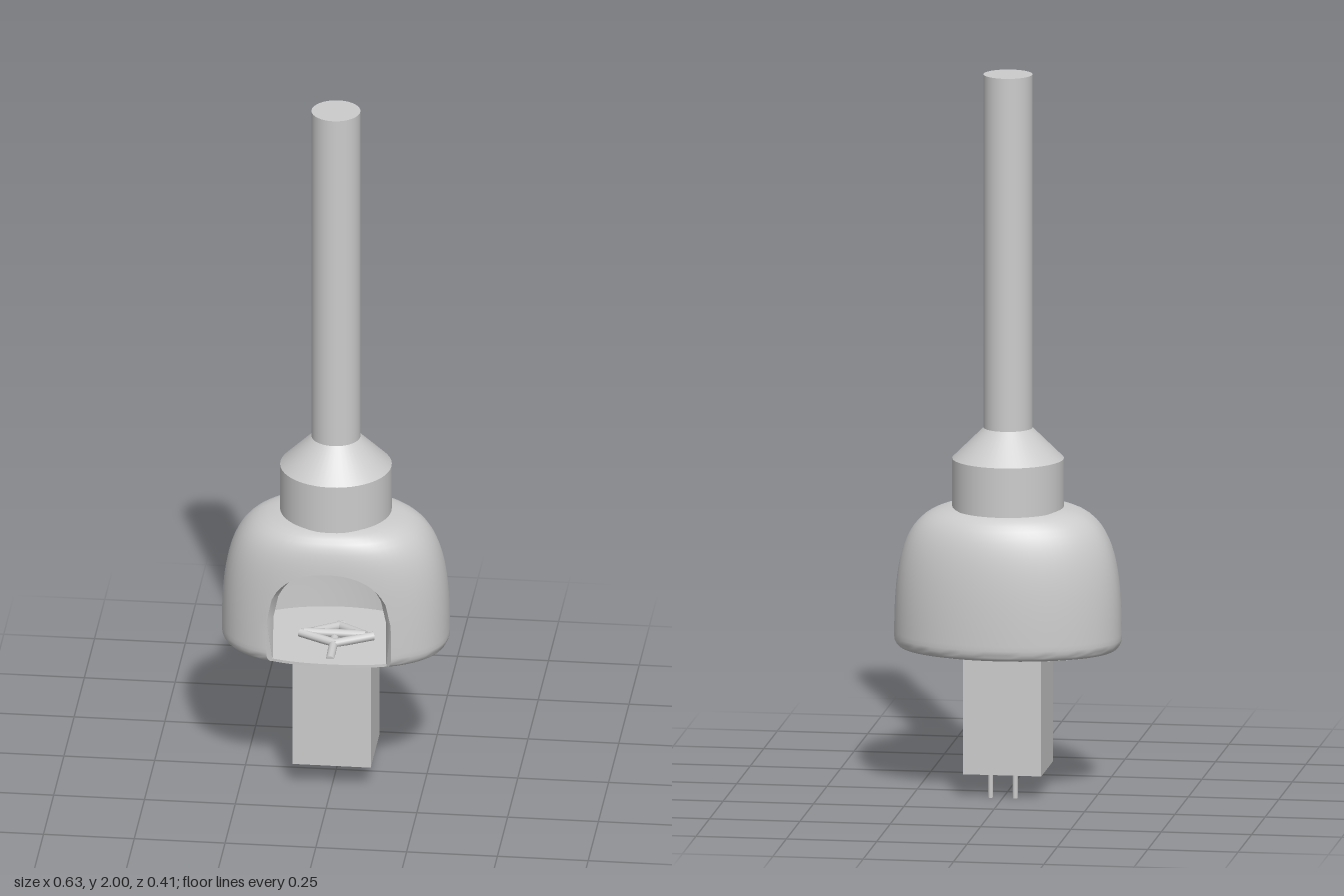
import * as THREE from 'three';
import { toCreasedNormals } from 'three/addons/utils/BufferGeometryUtils.js';

const BASE = 0.4, OPENING = 0.509; // shell bottom height, half angle of the opening

// Horizontal outline of the shell at height fraction t and angle th (0 = front)
function outline(t, th, inset) {
  const u = Math.max(0, 1 - t / 0.08);
  const round = inset ? 1 : 1 - 0.09 * (1 - Math.sqrt(1 - u * u));
  const s = Math.sin(th), c = Math.cos(th), front = c > 0;
  const a = 0.313 * Math.pow(Math.max(0, 1 - t ** 3), 0.205);
  const b = 0.207 * (front ? Math.pow(Math.max(0, 1 - t ** 8), 0.14) : Math.pow(Math.max(0, 1 - t ** 3), 0.18));
  const e = front ? 2 / 2.4 : 1;
  return [
    Math.max(0, a * round - inset) * Math.sign(s) * Math.abs(s) ** e,
    Math.max(0, b * round - inset) * Math.sign(c) * Math.abs(c) ** e
  ];
}

// Lower edge of the shell inside the arched opening
function archHeight(th) {
  const u = Math.min(1, Math.abs(Math.sin(th)) ** (2 / 2.4) * 0.313 / 0.172);
  return 0.52 + 0.165 * Math.pow(Math.max(0, 1 - u ** 2.4), 1 / 2.4);
}

// Domed oval shell with wall thickness and an arch cut in the front
function shellGeometry() {
  const columns = [], n = 28, wall = 0.028;
  for (let i = 0; i <= 24; i++) {
    const th = OPENING * (i / 12 - 1);
    columns.push([th, archHeight(th)]);
  }
  for (let i = 0; i <= 48; i++) columns.push([OPENING + (2 * Math.PI - 2 * OPENING) * i / 48, BASE]);

  const pos = [], index = [], rows = 2 * (n + 1);
  for (const [th, low] of columns) {
    for (let j = 0; j < rows; j++) {
      const inner = j > n;
      const k = inner ? rows - 1 - j : j;
      const height = inner ? 0.37 : 0.4;
      const y = Math.max(low, BASE + height * (1 - Math.cos(Math.PI * k / n)) / 2);
      const [x, z] = outline(Math.min(1, (y - BASE) / height), th, inner ? wall : 0);
      pos.push(x, y, z);
    }
  }
  for (let i = 0; i < columns.length; i++) {
    const i2 = (i + 1) % columns.length;
    for (let j = 0; j < rows; j++) {
      const j2 = (j + 1) % rows;
      const a = i * rows + j, b = i2 * rows + j, c = i2 * rows + j2, d = i * rows + j2;
      index.push(a, b, c, a, c, d);
    }
  }
  const g = new THREE.BufferGeometry();
  g.setAttribute('position', new THREE.Float32BufferAttribute(pos, 3));
  g.setIndex(index);
  return toCreasedNormals(g, 0.7);
}

export function createModel() {
  const group = new THREE.Group();
  const material = new THREE.MeshStandardMaterial({ color: 0xcccccc });
  const add = (name, geometry, x = 0, y = 0, z = 0) => {
    const mesh = new THREE.Mesh(geometry, material);
    mesh.name = name;
    mesh.position.set(x, y, z);
    group.add(mesh);
    return mesh;
  };

  // Chimney pipe, with its cone and collar
  add('pipe', new THREE.CylinderGeometry(0.067, 0.067, 0.99, 48), 0, 1.505, 0.007);
  add('cone', new THREE.CylinderGeometry(0.067, 0.153, 0.085, 48), 0, 0.9725, 0.007);
  add('collar', new THREE.CylinderGeometry(0.153, 0.153, 0.138, 48), 0, 0.861, 0.007);

  // Hearth shell
  add('shell', shellGeometry());

  // Hearth floor, following the shell's oval
  const oval = new THREE.Shape();
  for (let i = 0; i < 64; i++) {
    const [x, z] = outline(0.1, i / 64 * Math.PI * 2, 0);
    if (i) oval.lineTo(x * 0.915, -z * 0.915);
    else oval.moveTo(x * 0.915, -z * 0.915);
  }
  const floor = new THREE.ExtrudeGeometry(oval, { depth: 0.008, bevelEnabled: false });
  floor.rotateX(-Math.PI / 2);
  add('floor', floor, 0, 0.4, 0);

  // Logs: [x, y, z, heading, tilt, length]
  const logs = [
    [0, 0.411, 0.09, 0, 0.1, 0.13],
    [-0.045, 0.42, 0.05, 1.2, 0.08, 0.11],
    [0.055, 0.42, 0.05, -1.2, 0.08, 0.11],
    [-0.03, 0.42, -0.01, 2.3, 0.08, 0.12],
    [0.04, 0.42, -0.01, -2.3, 0.08, 0.12],
    [0, 0.427, 0.03, 1.57, 0, 0.17]
  ];
  for (const [x, y, z, heading, tilt, length] of logs) {
    const log = add('log', new THREE.CylinderGeometry(0.012, 0.012, length, 12), x, y, z);
    log.rotation.set(Math.PI / 2 + tilt, heading, 0, 'YXZ');
  }

  // Square base with two pins at the back
  add('base', new THREE.BoxGeometry(0.216, 0.337, 0.216), 0, 0.2335, 0.007);
  for (const side of [-1, 1]) {
    add('pin', new THREE.CylinderGeometry(0.007, 0.007, 0.07, 16), side * 0.034, 0.035, -0.087);
  }
  return group;
}
